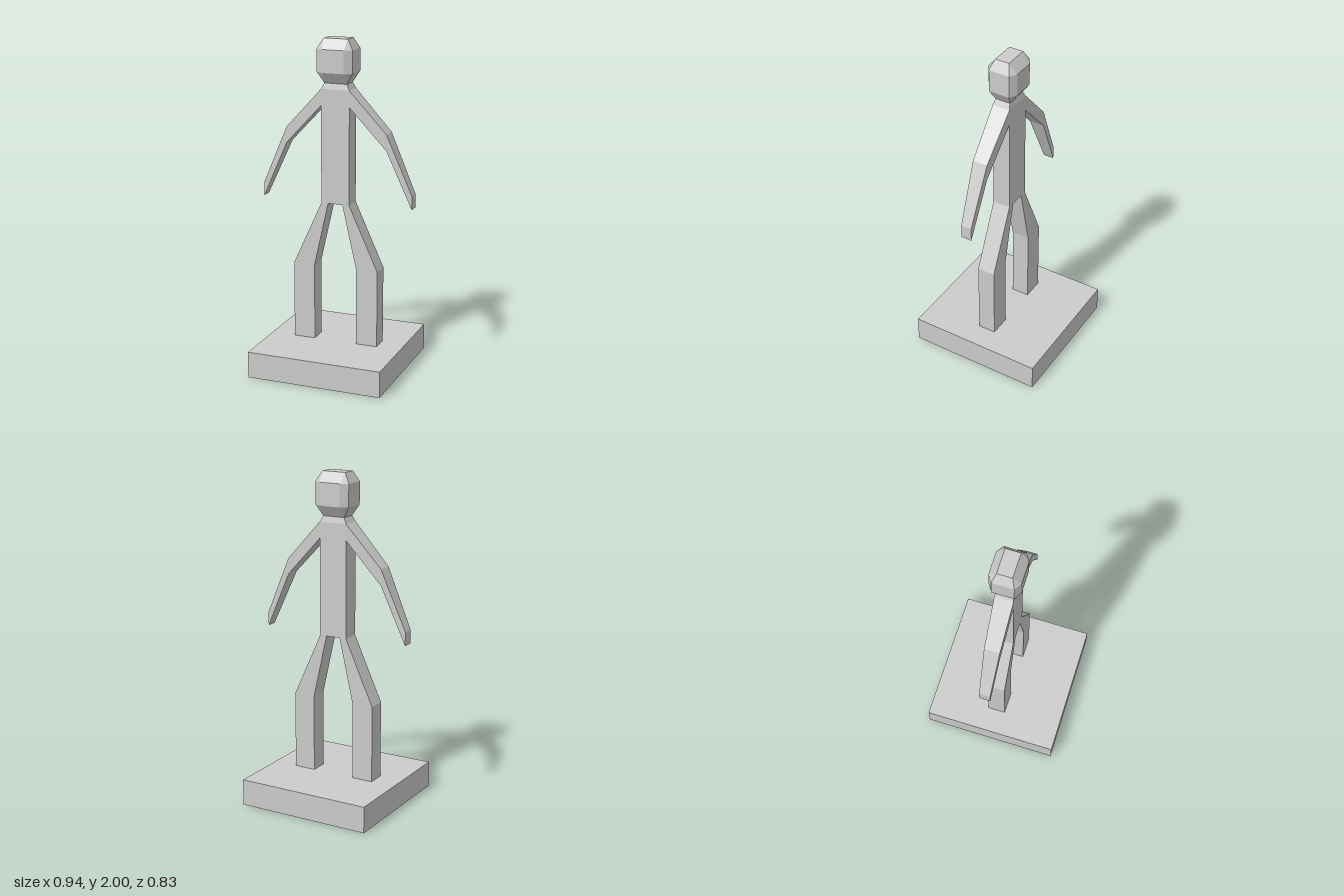
import * as THREE from 'three';
import { ConvexGeometry } from 'three/addons/geometries/ConvexGeometry.js';

const material = new THREE.MeshStandardMaterial({ color: 0xcccccc, flatShading: true });

function addMesh(parent, name, geometry) {
  const mesh = new THREE.Mesh(geometry, material);
  mesh.name = name;
  parent.add(mesh);
  return mesh;
}

// Capped four-sided loft; each section is [ax, ay, bx, by, halfDepth].
// side = -1 mirrors the limb across x = 0.
function loft(sections, side = 1) {
  const rings = sections.map(([ax, ay, bx, by, d]) => {
    const ring = [
      [ax * side, ay, d], [bx * side, by, d],
      [bx * side, by, -d], [ax * side, ay, -d],
    ];
    return side < 0 ? ring.reverse() : ring;
  });
  const positions = [];
  const quad = (a, b, c, d) => positions.push(...a, ...b, ...c, ...a, ...c, ...d);
  for (let s = 0; s < rings.length - 1; s++) {
    for (let i = 0; i < 4; i++) {
      const j = (i + 1) % 4;
      quad(rings[s][i], rings[s][j], rings[s + 1][j], rings[s + 1][i]);
    }
  }
  quad(...[...rings[0]].reverse());
  quad(...rings[rings.length - 1]);
  const geometry = new THREE.BufferGeometry();
  geometry.setAttribute('position', new THREE.Float32BufferAttribute(positions, 3));
  geometry.computeVertexNormals();
  return geometry;
}

// Head: octagonal middle band tapering to rectangles at crown and chin
function headGeometry() {
  const points = [];
  const corners = (x, y, z) => {
    for (const sx of [-1, 1]) for (const sz of [-1, 1]) points.push(new THREE.Vector3(sx * x, y, sz * z));
  };
  corners(0.075, 2.0, 0.044);
  for (const y of [1.94, 1.805]) {
    corners(0.11, y, 0.064);
    corners(0.067, y, 0.092);
  }
  corners(0.07, 1.74, 0.047);
  return new ConvexGeometry(points);
}

export function createModel() {
  const model = new THREE.Group();
  model.name = 'standingFigure';

  // Square base
  addMesh(model, 'base', new THREE.BoxGeometry(0.832, 0.16, 0.832)).position.y = 0.08;

  // Torso and tapering neck
  addMesh(model, 'torso', loft([
    [-0.088, 1.022, 0.088, 1.022, 0.055],
    [-0.088, 1.705, 0.088, 1.705, 0.055],
  ]));
  addMesh(model, 'neck', loft([
    [-0.088, 1.705, 0.088, 1.705, 0.055],
    [-0.07, 1.74, 0.07, 1.74, 0.047],
  ]));
  addMesh(model, 'head', headGeometry());

  // Limbs, mirrored left and right
  for (const [side, prefix] of [[1, 'left'], [-1, 'right']]) {
    addMesh(model, prefix + 'Arm', loft([
      [0.088, 1.705, 0.088, 1.607, 0.055],
      [0.313, 1.463, 0.313, 1.367, 0.046],
      [0.468, 1.11, 0.468, 1.027, 0.033],
    ], side));
    addMesh(model, prefix + 'Leg', loft([
      [0.088, 1.022, 0.045, 1.022, 0.055],
      [0.267, 0.63, 0.134, 0.63, 0.055],
      [0.267, 0.16, 0.134, 0.16, 0.055],
    ], side));
  }
  return model;
}
